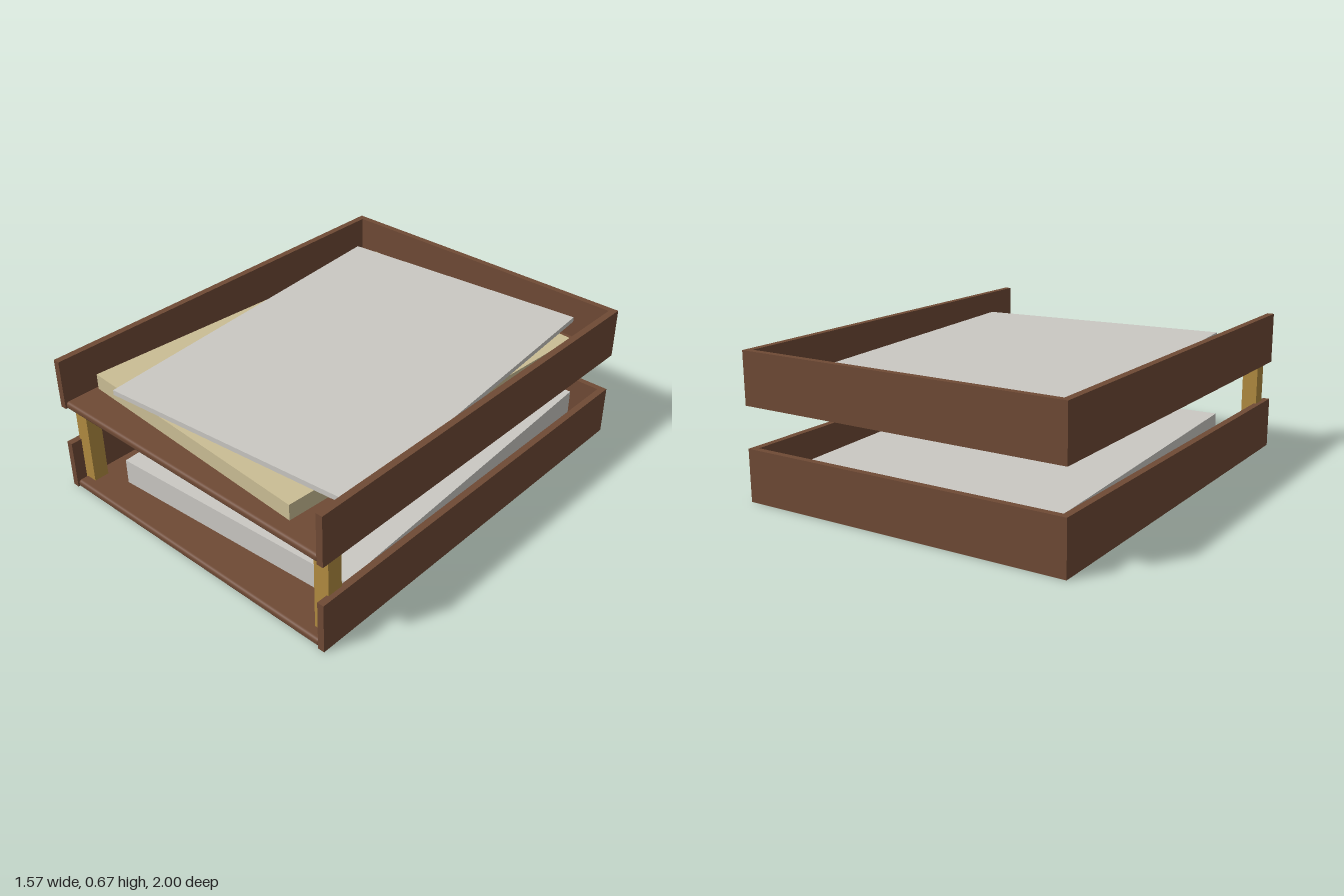
import * as THREE from 'three';
import { RoundedBoxGeometry } from 'three/addons/geometries/RoundedBoxGeometry.js';

const material = (name, color) => {
  const m = new THREE.MeshStandardMaterial({ color });
  m.name = name;
  return m;
};

export function createModel() {
  const wood = material('dark wood', 0x6f4a35);
  const brass = material('brass', 0xb18b40);
  const white = material('white paper', 0xcac8c3);
  const cream = material('cream paper', 0xcabd94);

  const model = new THREE.Group();
  model.name = 'letterTray';

  // Box given by its limits on each axis
  const box = (parent, name, mat, [x0, x1], [y0, y1], [z0, z1]) => {
    const mesh = new THREE.Mesh(new THREE.BoxGeometry(x1 - x0, y1 - y0, z1 - z0), mat);
    mesh.position.set((x0 + x1) / 2, (y0 + y1) / 2, (z0 + z1) / 2);
    mesh.name = name;
    parent.add(mesh);
  };

  // Open-fronted trays: floor with rounded lip, two sides and a back
  const height = 0.24;
  [['lowerTray', 0], ['upperTray', 0.43]].forEach(([name, y]) => {
    const tray = new THREE.Group();
    tray.name = name;
    tray.position.y = y;
    const floor = new THREE.Mesh(new RoundedBoxGeometry(1.512, 0.036, 1.98, 3, 0.014), wood);
    floor.position.set(0, 0.019, 0.007);
    floor.name = 'floor';
    tray.add(floor);
    box(tray, 'leftSide', wood, [0.755, 0.787], [0, height], [-1, 1]);
    box(tray, 'rightSide', wood, [-0.787, -0.755], [0, height], [-1, 1]);
    box(tray, 'backWall', wood, [-0.755, 0.755], [0, height], [-1, -0.97]);
    model.add(tray);
  });

  // Front posts holding up the upper tray
  box(model, 'leftPost', brass, [0.69, 0.764], [0, 0.44], [0.873, 0.947]);
  box(model, 'rightPost', brass, [-0.766, -0.692], [0.015, 0.44], [0.873, 0.947]);

  // Loosely stacked paper, each pile slightly turned
  const stack = (name, mat, x, z, y0, y1, turn) => {
    const mesh = new THREE.Mesh(new THREE.BoxGeometry(1.275, y1 - y0, 1.757), mat);
    mesh.position.set(x, (y0 + y1) / 2, z);
    mesh.rotation.y = turn;
    mesh.name = name;
    model.add(mesh);
  };
  stack('lowerPaperStack', white, 0.024, -0.056, 0.042, 0.165, 0.054);
  stack('creamPaperStack', cream, -0.037, 0, 0.465, 0.542, -0.067);
  stack('topPaperStack', white, 0.02, -0.04, 0.546, 0.57, 0.0865);

  return model;
}
